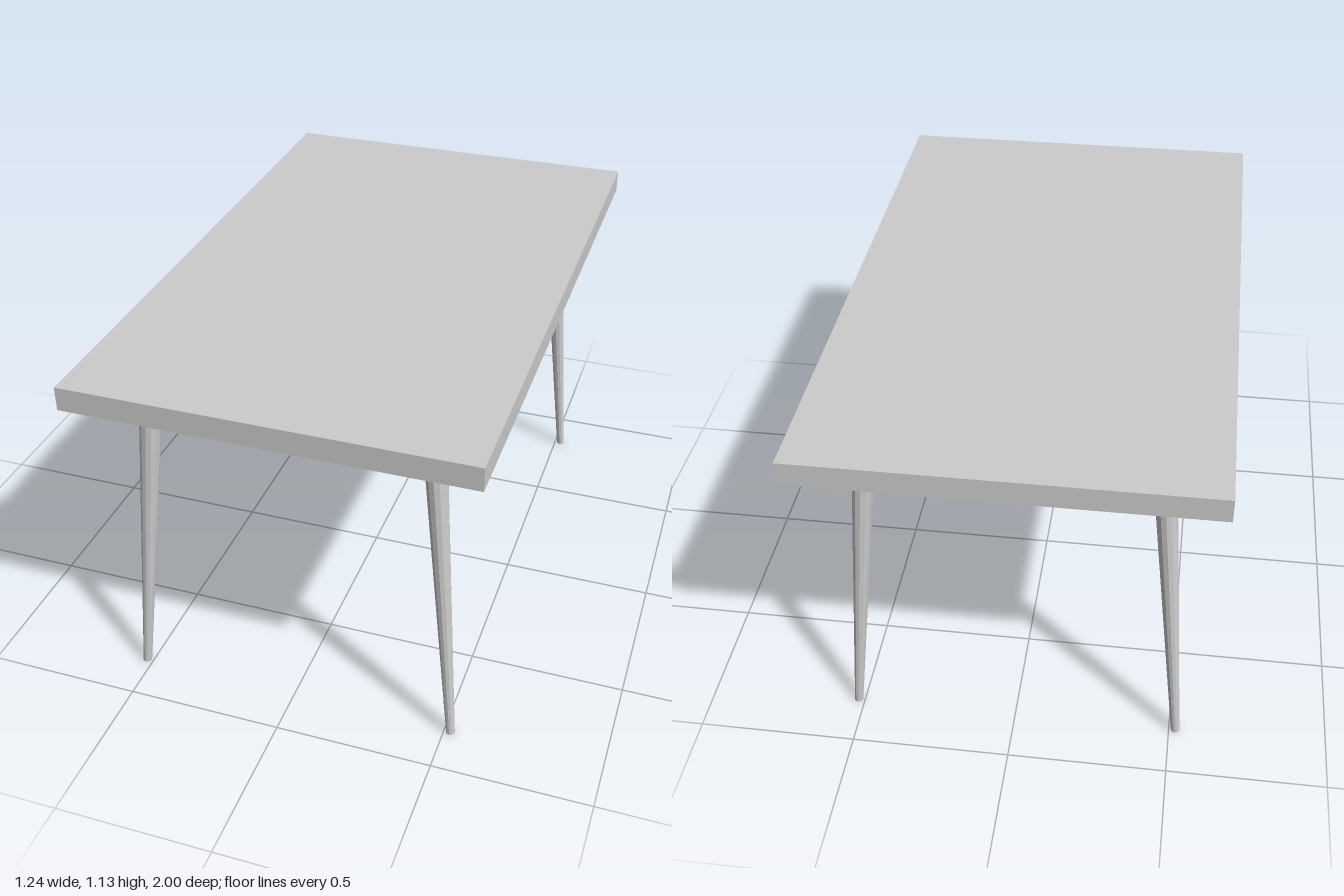
import * as THREE from 'three';

const TOP_Y = 1.135;
const UNDERSIDE_Y = 1.06;

// Tapered leg, slanted by shearing so that both ends stay level
function makeLeg(top, foot, material) {
  const geometry = new THREE.CylinderGeometry(0.036, 0.014, UNDERSIDE_Y, 12);
  geometry.translate(0, UNDERSIDE_Y / 2, 0);
  const position = geometry.attributes.position;
  for (let i = 0; i < position.count; i++) {
    const t = position.getY(i) / UNDERSIDE_Y;
    position.setX(i, position.getX(i) + THREE.MathUtils.lerp(foot.x, top.x, t));
    position.setZ(i, position.getZ(i) + THREE.MathUtils.lerp(foot.y, top.y, t));
  }
  geometry.computeVertexNormals();
  return new THREE.Mesh(geometry, material);
}

export function createModel() {
  const model = new THREE.Group();
  model.name = 'table';
  const material = new THREE.MeshStandardMaterial({ color: 0xcccccc, flatShading: true });

  // Slab top
  const thickness = TOP_Y - UNDERSIDE_Y;
  const tableTop = new THREE.Mesh(new THREE.BoxGeometry(1.24, thickness, 2), material);
  tableTop.name = 'tableTop';
  tableTop.position.y = UNDERSIDE_Y + thickness / 2;
  model.add(tableTop);

  // Four splayed legs; the set sits slightly forward under the top
  const legShift = 0.008;
  for (const [sideName, sx] of [['Left', 1], ['Right', -1]]) {
    for (const [endName, sz] of [['front', 1], ['back', -1]]) {
      const top = new THREE.Vector2(sx * 0.429, sz * 0.787 + legShift);
      const foot = new THREE.Vector2(sx * 0.521, sz * 0.84 + legShift);
      const leg = makeLeg(top, foot, material);
      leg.name = `${endName}${sideName}Leg`;
      model.add(leg);
    }
  }
  return model;
}
